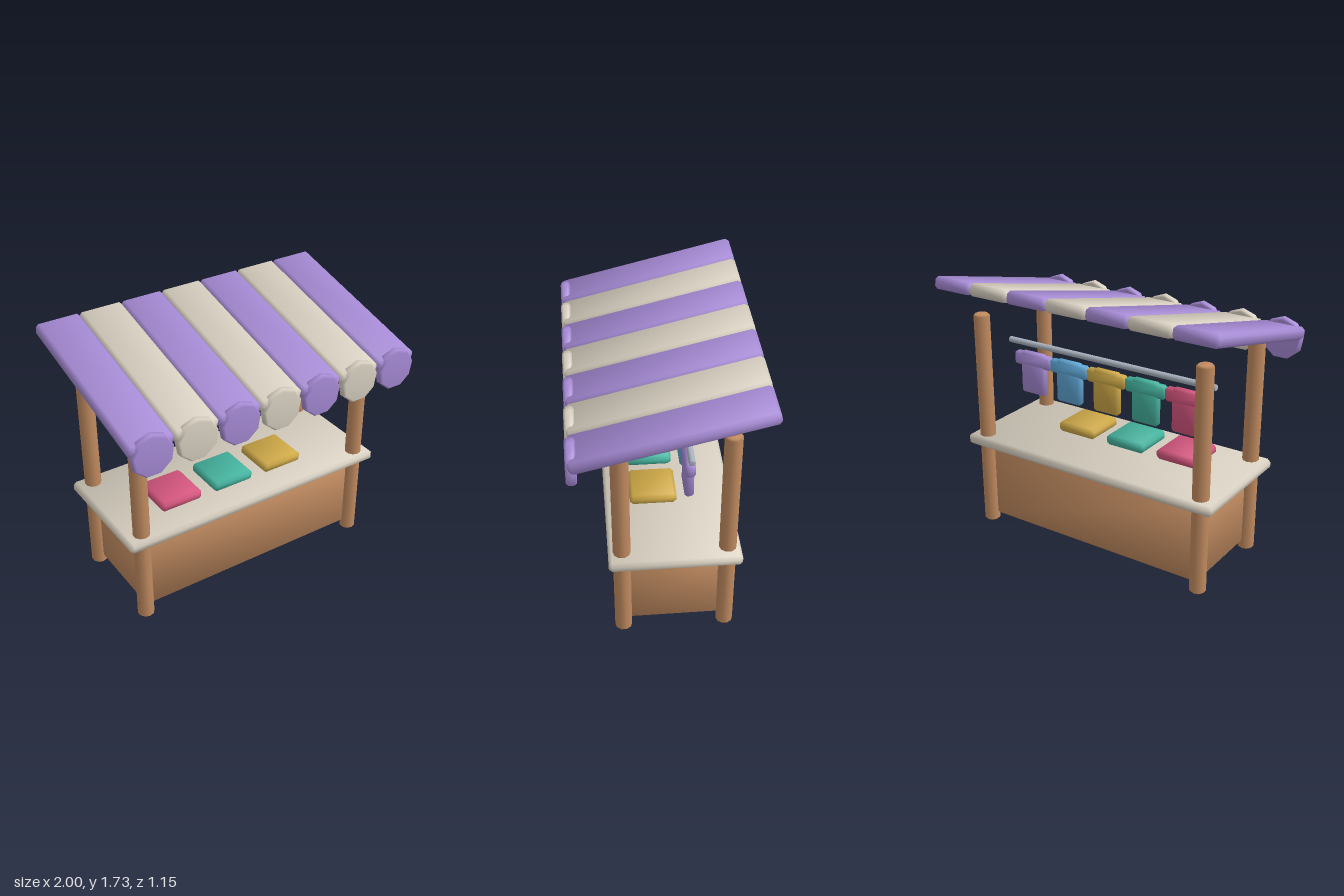
import * as THREE from 'three';
import { ConvexGeometry } from 'three/addons/geometries/ConvexGeometry.js';

function material(name, color) {
  const m = new THREE.MeshStandardMaterial({ color });
  m.name = name;
  return m;
}

// Box with one-step chamfers and soft shading that rolls over the edges
function softBox(w, h, d, c) {
  const half = [w / 2, h / 2, d / 2];
  const points = [];
  for (const sx of [-1, 1]) for (const sy of [-1, 1]) for (const sz of [-1, 1]) {
    for (let axis = 0; axis < 3; axis++) {
      const p = [sx, sy, sz].map((s, i) => s * (half[i] - (i === axis ? 0 : c)));
      points.push(new THREE.Vector3(...p));
    }
  }
  const geo = new ConvexGeometry(points);
  const pos = geo.attributes.position;
  const n = new THREE.Vector3();
  for (let i = 0; i < pos.count; i++) {
    const p = [pos.getX(i), pos.getY(i), pos.getZ(i)];
    n.set(...p.map((v, k) => Math.sign(v) * (Math.abs(v) > half[k] - c / 2 ? 2.3 : 1))).normalize();
    geo.attributes.normal.setXYZ(i, n.x, n.y, n.z);
  }
  return geo;
}

// Upright round bar with chamfered ends, centred on the origin
function softBar(r, h, c, sides) {
  const profile = [[0, -h / 2], [r - c, -h / 2], [r, -h / 2 + c], [r, h / 2 - c], [r - c, h / 2], [0, h / 2]];
  return new THREE.LatheGeometry(profile.map(([x, y]) => new THREE.Vector2(x, y)), sides);
}

export function createModel() {
  const wood = material('wood', 0xc18b60);
  const cream = material('cream', 0xd8d0c1);
  const purple = material('purple', 0xa78bd6);
  const pink = material('pink', 0xd6567f);
  const teal = material('teal', 0x45b5a0);
  const gold = material('gold', 0xd0aa48);
  const blue = material('blue', 0x5fa8d8);
  const steel = material('steel', 0xaab4c0);

  const stall = new THREE.Group();
  stall.name = 'marketStall';
  const add = (parent, name, geo, mat, x, y, z) => {
    const mesh = new THREE.Mesh(geo, mat);
    mesh.name = name;
    mesh.position.set(x, y, z);
    parent.add(mesh);
    return mesh;
  };

  // Cabinet and counter top
  const midZ = -0.033;
  add(stall, 'cabinet', softBox(1.61, 0.53, 0.63, 0.03), wood, 0, 0.3, midZ);
  add(stall, 'counterTop', softBox(1.845, 0.07, 0.795, 0.02), cream, 0, 0.6, midZ);

  // Four corner posts
  const postGeo = softBar(0.053, 1.472, 0.012, 10);
  for (const x of [-0.812, 0.812]) {
    for (const z of [0.283, -0.35]) {
      add(stall, z > 0 ? 'frontPost' : 'backPost', postGeo, wood, x, 0.736, z);
    }
  }

  // Sloping awning of seven padded strips, each with a round flap in front
  const awning = new THREE.Group();
  awning.name = 'awning';
  stall.add(awning);
  const pitch = 2 / 7;
  const stripGeo = softBox(pitch, 0.08, 1.16, 0.02);
  const flapGeo = softBar(0.135, 0.06, 0.014, 9).rotateX(Math.PI / 2).rotateZ(Math.PI);
  const bobbleGeo = new THREE.SphereGeometry(0.034, 12, 8);
  for (let i = 0; i < 7; i++) {
    const x = (i - 3) * pitch;
    const mat = i % 2 ? cream : purple;
    const strip = add(awning, 'awningStrip', stripGeo, mat, x, 1.562, -0.003);
    strip.rotation.x = 0.24;
    add(awning, 'awningFlap', flapGeo, mat, x, 1.377, 0.546);
    if (i % 2) add(awning, 'bobble', bobbleGeo, cream, x, 1.313, 0.479);
  }

  // Hanging rail with five shirts
  const railZ = -0.13;
  const rail = add(stall, 'rail', softBar(0.02, 1.54, 0.004, 10), steel, 0, 1.246, railZ);
  rail.rotation.z = Math.PI / 2;
  const shirtBody = softBox(0.19, 0.285, 0.055, 0.015);
  const shirtSleeves = softBox(0.29, 0.088, 0.06, 0.015);
  [pink, teal, gold, blue, purple].forEach((mat, i) => {
    const shirt = new THREE.Group();
    shirt.name = 'shirt';
    shirt.position.set((i - 2) * 0.288, 0, railZ);
    add(shirt, 'shirtBody', shirtBody, mat, 0, 1.048, 0);
    add(shirt, 'shirtSleeves', shirtSleeves, mat, 0, 1.138, 0);
    stall.add(shirt);
  });

  // Folded cloths on the counter
  const clothGeo = softBox(0.285, 0.07, 0.29, 0.02);
  [pink, teal, gold].forEach((mat, i) => {
    add(stall, 'foldedCloth', clothGeo, mat, -0.472 + i * 0.38, 0.684, 0.062);
  });

  return stall;
}
